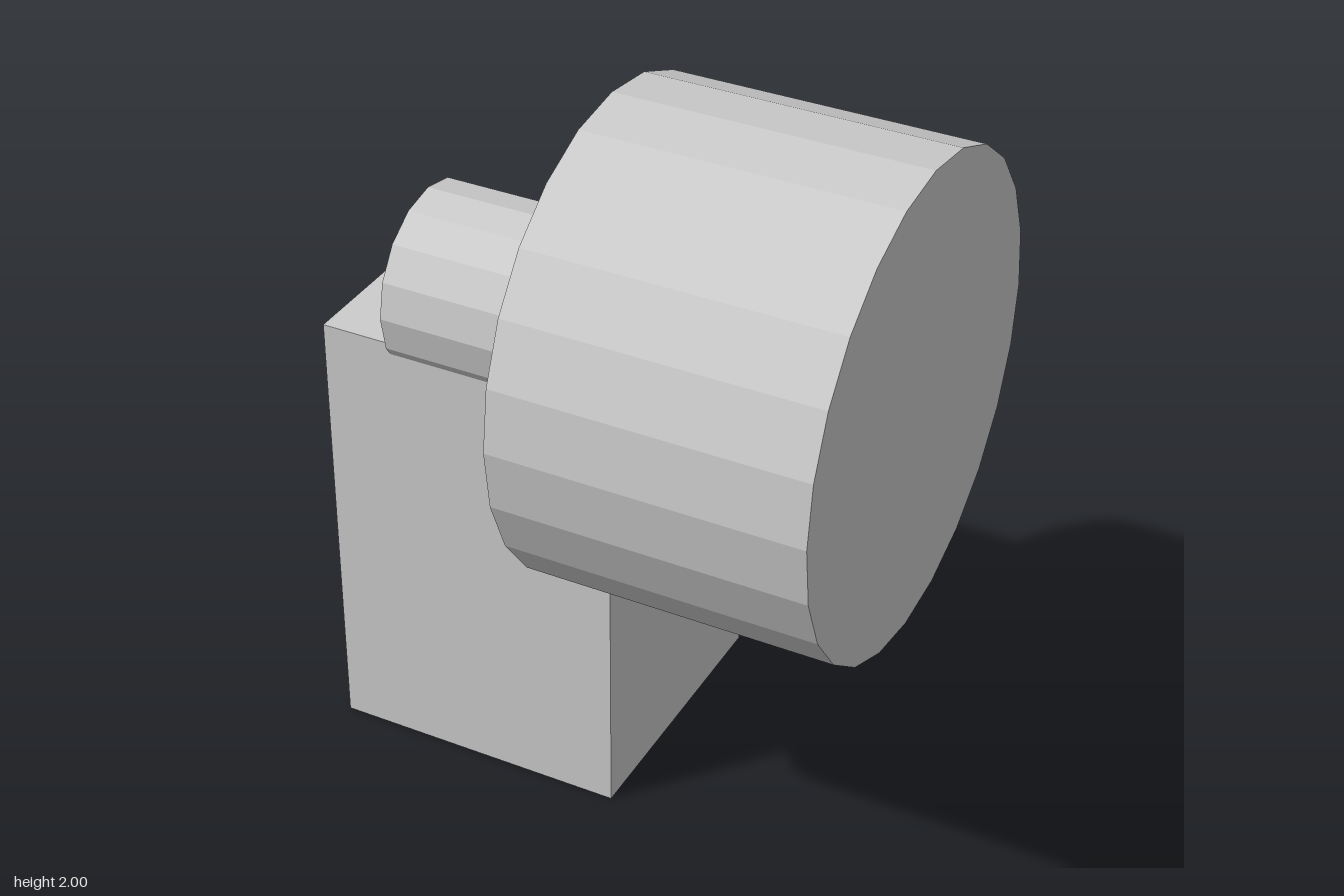
import * as THREE from 'three';

export function createModel() {
  const model = new THREE.Group();
  const grey = new THREE.MeshStandardMaterial({ color: 0xcccccc, flatShading: true });
  grey.name = 'light grey';

  const add = (name, geometry, x, y, z) => {
    const mesh = new THREE.Mesh(geometry, grey);
    mesh.name = name;
    mesh.position.set(x, y, z);
    model.add(mesh);
  };

  // Faceted cylinder lying along x, from x0 to x1, on the shared axle line
  const axleY = 1.355;
  const addDrum = (name, radius, x0, x1, sides) => {
    const geometry = new THREE.CylinderGeometry(radius, radius, x1 - x0, sides);
    geometry.rotateZ(Math.PI / 2);
    add(name, geometry, (x0 + x1) / 2, axleY, 0);
  };

  // Upright block, set slightly behind the axle line
  add('base', new THREE.BoxGeometry(0.825, 1.262, 0.79), -0.3625, 0.631, -0.18);

  // Large head and the narrow shaft sunk into the block
  addDrum('head', 0.645, -0.053, 0.775, 24);
  addDrum('shaft', 0.252, -0.577, -0.04, 16);

  return model;
}
